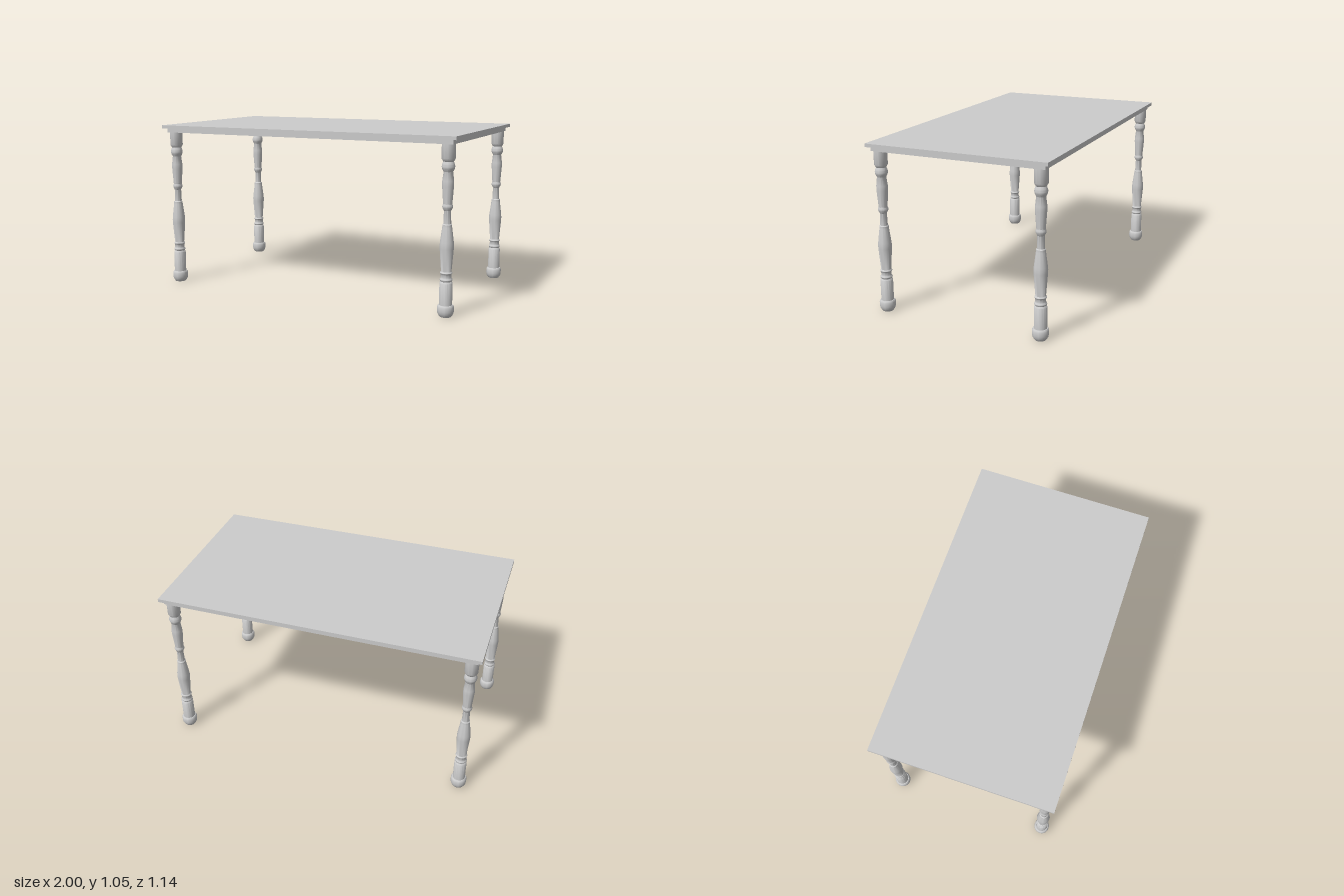
import * as THREE from 'three';
import { toCreasedNormals } from 'three/addons/utils/BufferGeometryUtils.js';

const material = new THREE.MeshStandardMaterial({ color: 0xcccccc });

// Rounded swelling of a turned profile: radius goes r0 -> rMax -> r1 between y0 and y1
function bead(y0, y1, r0, rMax, r1 = r0, steps = 8) {
  const points = [];
  for (let i = 0; i <= steps; i++) {
    const t = i / steps;
    const base = r0 + (r1 - r0) * t;
    points.push([base + (rMax - base) * Math.sin(Math.PI * t), y0 + (y1 - y0) * t]);
  }
  return points;
}

// Turned leg, bottom to top
function legGeometry() {
  const profile = [
    [0, 0],
    // bun foot
    [0.034, 0], [0.041, 0.01], [0.046, 0.02], [0.049, 0.034], [0.049, 0.058], [0.046, 0.065], [0.042, 0.07],
    // lower cylinder
    [0.038, 0.07], [0.038, 0.2], [0.034, 0.206],
    // two rings
    ...bead(0.209, 0.228, 0.032, 0.037),
    [0.031, 0.232], [0.031, 0.25],
    ...bead(0.252, 0.265, 0.032, 0.036),
    // long lower swelling
    [0.03, 0.267], [0.0405, 0.4], [0.041, 0.42], [0.0395, 0.438], [0.0285, 0.523],
    // collar and neck
    [0.028, 0.525], [0.028, 0.54], [0.025, 0.542], [0.0225, 0.545], [0.0205, 0.62],
    // small ring
    [0.022, 0.622], [0.03, 0.638], [0.031, 0.645], [0.029, 0.652], [0.026, 0.66],
    // upper swelling
    [0.0265, 0.662], [0.0335, 0.76], [0.034, 0.775], [0.0335, 0.79], [0.027, 0.842],
    // ball and top block
    ...bead(0.844, 0.9, 0.028, 0.038, 0.03),
    [0.031, 0.901], [0.04, 0.917], [0.04, 1.0], [0, 1.0],
  ].map(([r, y]) => new THREE.Vector2(r, y));
  return toCreasedNormals(new THREE.LatheGeometry(profile, 32), 0.6);
}

// Horizontal slab between two heights
function slab(name, width, depth, y0, y1) {
  const mesh = new THREE.Mesh(new THREE.BoxGeometry(width, y1 - y0, depth), material);
  mesh.position.y = (y0 + y1) / 2;
  mesh.name = name;
  return mesh;
}

export function createModel() {
  const table = new THREE.Group();
  table.name = 'table';
  table.add(slab('tableTop', 2, 1.14, 1.026, 1.047));
  table.add(slab('underTop', 1.954, 1.092, 1.0, 1.026));

  // One leg in each corner
  const geometry = legGeometry();
  for (const [side, x] of [['Left', 0.937], ['Right', -0.937]]) {
    for (const [end, z] of [['front', 0.506], ['back', -0.506]]) {
      const leg = new THREE.Mesh(geometry, material);
      leg.name = `${end}${side}Leg`;
      leg.position.set(x, 0, z);
      table.add(leg);
    }
  }
  return table;
}
